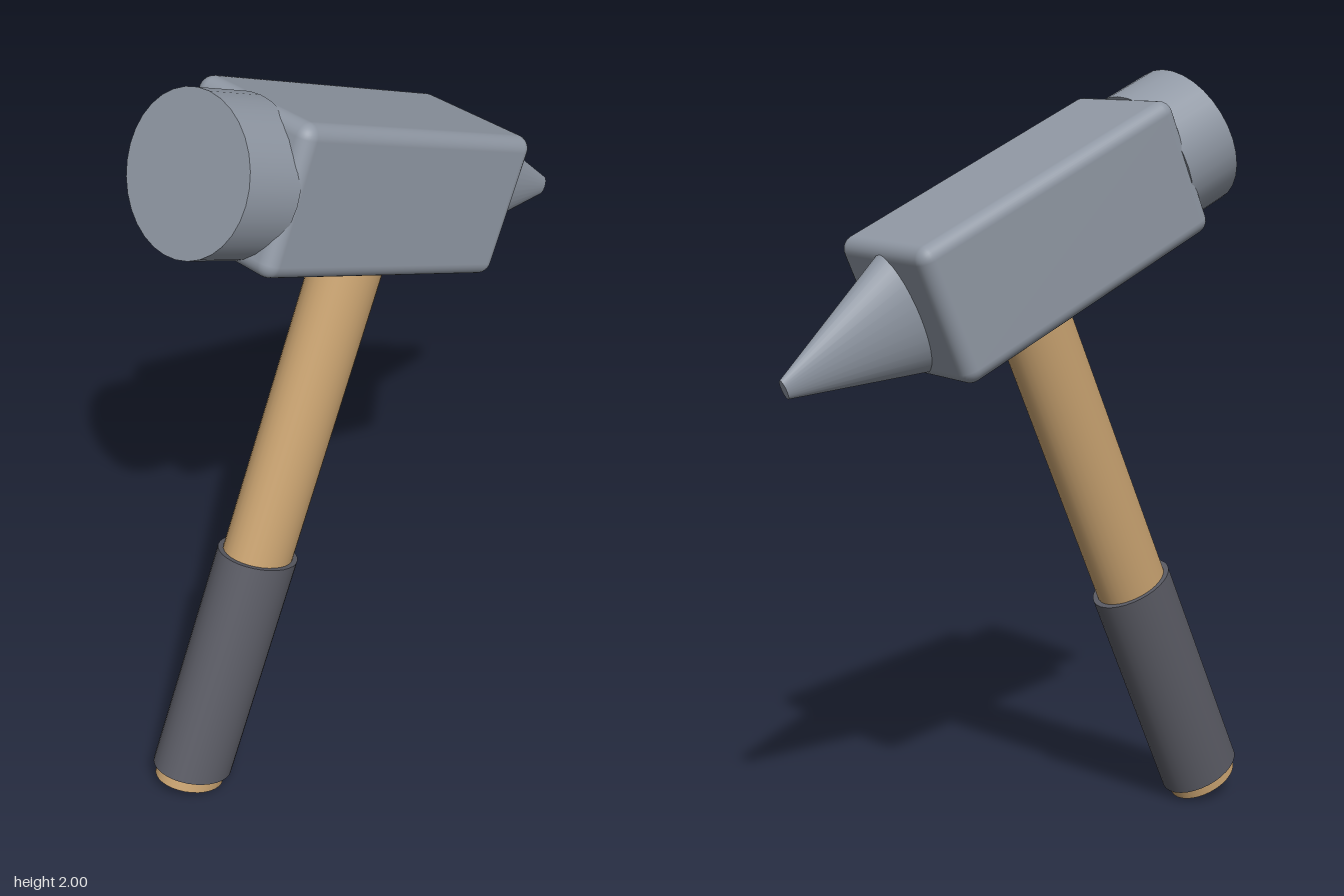
import * as THREE from 'three';
import { RoundedBoxGeometry } from 'three/addons/geometries/RoundedBoxGeometry.js';

export function createModel() {
  const material = (name, color) => {
    const m = new THREE.MeshStandardMaterial({ color });
    m.name = name;
    return m;
  };
  const steel = material('steel', 0x9098a4);
  const wood = material('wood', 0xc8a270);
  const rubber = material('rubber', 0x5a5b64);

  // The hammer is built upright, then leaned over as a whole.
  const hammer = new THREE.Group();
  hammer.name = 'hammer';
  const add = (name, geometry, mat, x, y) => {
    const mesh = new THREE.Mesh(geometry, mat);
    mesh.name = name;
    mesh.position.set(x, y, 0);
    hammer.add(mesh);
    return mesh;
  };

  // Oval handle with a slightly wider grip sleeve
  const oval = (radius, length) =>
    new THREE.CylinderGeometry(radius, radius, length, 32).scale(1, 1, 0.82);
  add('handle', oval(0.1, 1.6), wood, 0, 0.8);
  add('grip', oval(0.115, 0.634), rubber, 0, 0.35);

  // Rounded block of the head
  const headY = 1.675;
  add('headBlock', new RoundedBoxGeometry(0.83, 0.36, 0.364, 4, 0.035), steel, -0.075, headY);

  // Round striking face, just wider than the block
  const face = new THREE.CylinderGeometry(0.187, 0.187, 0.162, 32).rotateZ(Math.PI / 2);
  add('strikingFace', face, steel, -0.546, headY);

  // Flattened, tapering peen at the other end
  const peen = new THREE.CylinderGeometry(0.025, 0.173, 0.4, 32)
    .scale(1, 1, 0.5)
    .rotateZ(-Math.PI / 2);
  add('peen', peen, steel, 0.5, headY);

  hammer.rotation.z = THREE.MathUtils.degToRad(-24);
  hammer.position.set(-0.617, 0.041, 0);

  const model = new THREE.Group();
  model.name = 'model';
  model.add(hammer);
  return model;
}
